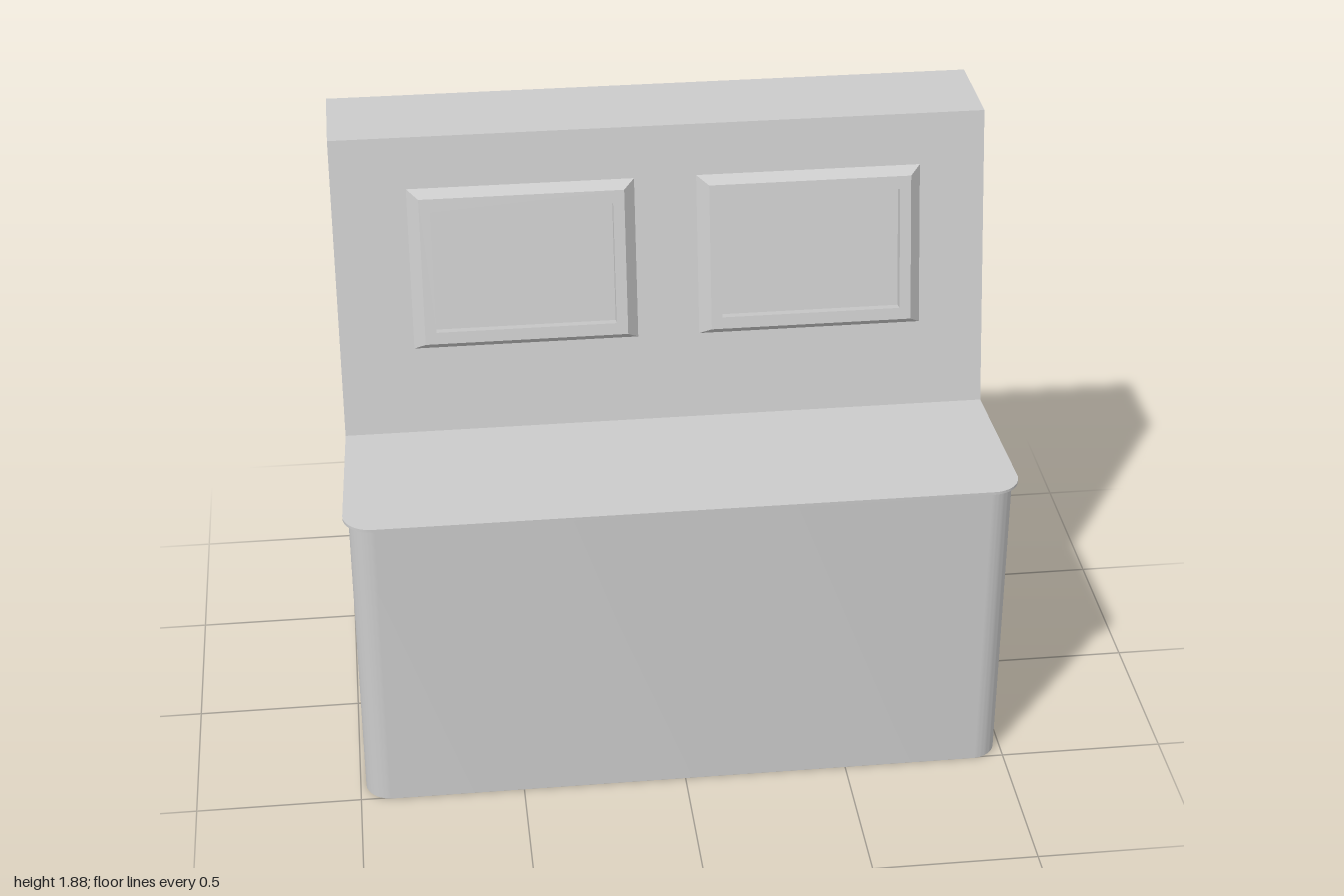
import * as THREE from 'three';
import { toCreasedNormals } from 'three/addons/utils/BufferGeometryUtils.js';

const material = new THREE.MeshStandardMaterial({ color: 0xcccccc });
const BACK = -0.515, HALF = 0.983, SEAT_Y = 0.977, TOP_Y = 0.986;
const FOOT_Z = -0.025, CREST_Z = -0.21, CREST_Y = 1.885;

function addMesh(parent, name, geometry) {
  const mesh = new THREE.Mesh(geometry, material);
  mesh.name = name;
  parent.add(mesh);
  return mesh;
}

// Horizontal slab with rounded front corners, widening from back to front
function slab(backHalf, frontHalf, backZ, frontZ, radius, y, height) {
  const s = new THREE.Shape();
  s.moveTo(-backHalf, -backZ);
  s.lineTo(-frontHalf, -frontZ + radius);
  s.absarc(-frontHalf + radius, -frontZ + radius, radius, Math.PI, Math.PI * 1.5, false);
  s.absarc(frontHalf - radius, -frontZ + radius, radius, Math.PI * 1.5, Math.PI * 2, false);
  s.lineTo(backHalf, -backZ);
  const g = new THREE.ExtrudeGeometry(s, { depth: height, bevelEnabled: false, curveSegments: 10 });
  g.rotateX(-Math.PI / 2).translate(0, y, 0);
  return toCreasedNormals(g, 0.5);
}

// Upright console with a sloping face, extruded across the width
function uprightGeometry() {
  const s = new THREE.Shape([
    [BACK, SEAT_Y], [FOOT_Z, SEAT_Y], [FOOT_Z, TOP_Y], [CREST_Z, CREST_Y], [BACK, CREST_Y],
  ].map(([z, y]) => new THREE.Vector2(z, y)));
  const g = new THREE.ExtrudeGeometry(s, { depth: 2 * HALF, bevelEnabled: false });
  return g.rotateY(-Math.PI / 2).translate(HALF, 0, 0);
}

// Nested rectangles [halfWidth, bottom, top, height] joined into a bevelled frame
function frameGeometry(loops, capped) {
  const rings = loops.map(([w, b, t, h]) => [[-w, b, h], [w, b, h], [w, t, h], [-w, t, h]]);
  const positions = [];
  const quad = (a, b, c, d) => positions.push(...a, ...b, ...c, ...a, ...c, ...d);
  for (let i = 0; i + 1 < rings.length; i++) {
    for (let k = 0; k < 4; k++) {
      const n = (k + 1) % 4;
      quad(rings[i][k], rings[i][n], rings[i + 1][n], rings[i + 1][k]);
    }
  }
  if (capped) quad(...rings[rings.length - 1]);
  const g = new THREE.BufferGeometry();
  g.setAttribute('position', new THREE.Float32BufferAttribute(positions, 3));
  g.computeVertexNormals();
  return g;
}

export function createModel() {
  const model = new THREE.Group();
  model.name = 'console';

  addMesh(model, 'base', slab(HALF, HALF, BACK, 0.505, 0.08, 0, SEAT_Y));
  addMesh(model, 'upright', uprightGeometry());
  addMesh(model, 'counterTop', slab(HALF, 1, FOOT_Z, 0.515, 0.085, SEAT_Y, TOP_Y - SEAT_Y));

  // Two recessed screens lying on the sloping face
  const tilt = Math.atan2(CREST_Z - FOOT_Z, CREST_Y - TOP_Y);
  const lip = [0.272, 0.324, 0.697];
  for (const [side, x] of [['right', -0.42], ['left', 0.447]]) {
    const monitor = new THREE.Group();
    monitor.name = side + 'Monitor';
    monitor.position.set(x, TOP_Y, FOOT_Z);
    monitor.rotation.x = tilt;
    addMesh(monitor, 'frame', frameGeometry([
      [0.34, 0.266, 0.761, 0],
      [0.306, 0.288, 0.737, 0.04],
      [...lip, 0.04],
      [...lip, 0.006],
    ], false));
    addMesh(monitor, 'screen', frameGeometry([[...lip, 0.006]], true));
    model.add(monitor);
  }
  return model;
}
